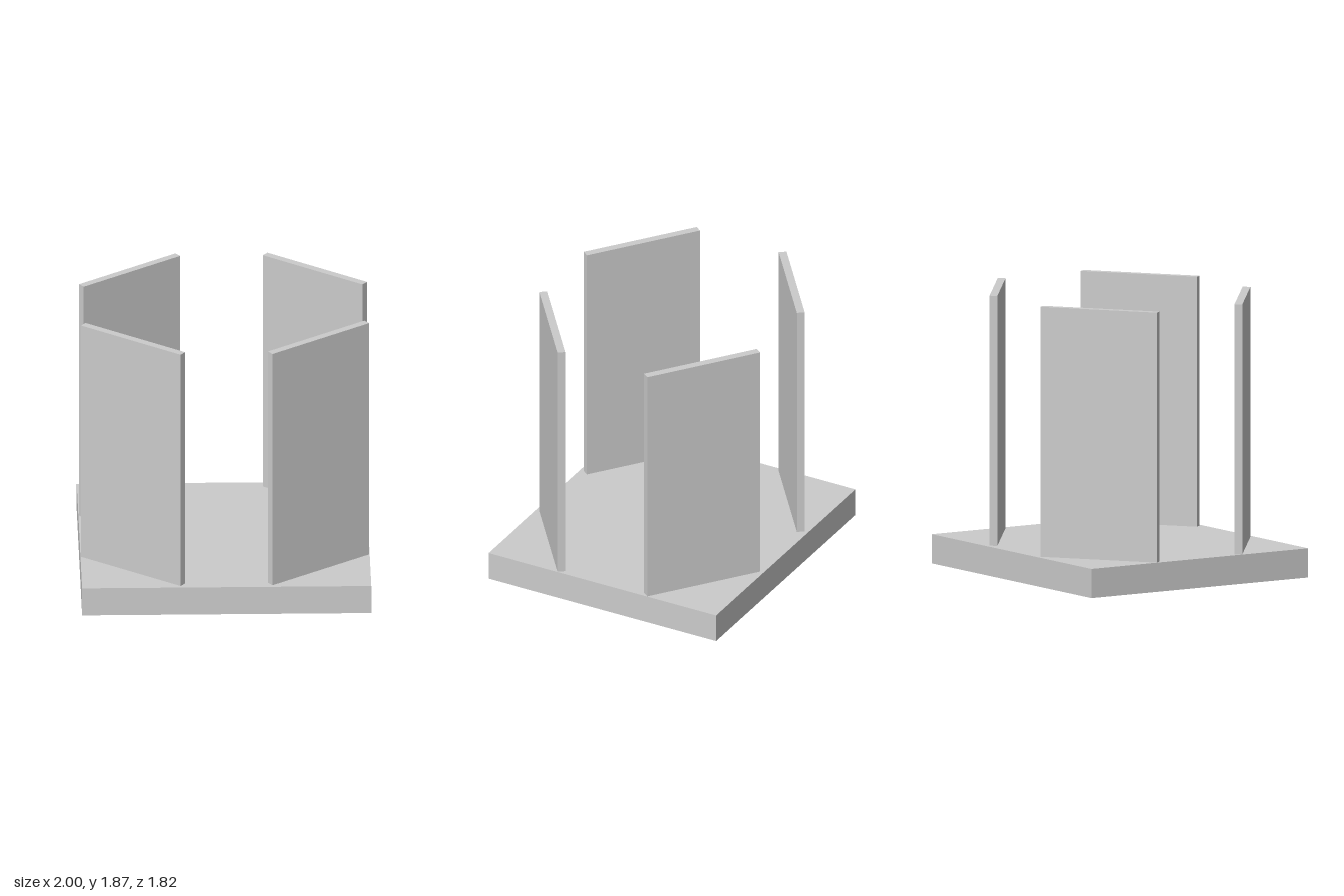
import * as THREE from 'three';

export function createModel() {
  const model = new THREE.Group();
  const material = new THREE.MeshStandardMaterial({ color: 0xcccccc, flatShading: true });
  const baseHeight = 0.195, panelHeight = 1.67;

  function addBox(name, width, height, depth, x, bottom, z, turn = 0) {
    const mesh = new THREE.Mesh(new THREE.BoxGeometry(width, height, depth), material);
    mesh.name = name;
    mesh.position.set(x, bottom + height / 2, z);
    mesh.rotation.y = THREE.MathUtils.degToRad(turn);
    model.add(mesh);
  }

  // Square-edged base slab
  addBox('base', 1.912, baseHeight, 1.718, 0, 0, 0);

  // Four upright panels, one cutting across each corner of the base
  for (const [sideName, sx] of [['Left', 1], ['Right', -1]]) {
    for (const [endName, sz] of [['front', 1], ['back', -1]]) {
      addBox(`${endName}${sideName}Panel`, 0.815, panelHeight, 0.052,
        sx * 0.613, baseHeight, sz * 0.565, sx * sz * 37.3);
    }
  }

  // The whole piece stands slightly turned
  model.rotation.y = THREE.MathUtils.degToRad(3.05);
  const group = new THREE.Group();
  model.name = 'panelStand';
  group.add(model);
  return group;
}
